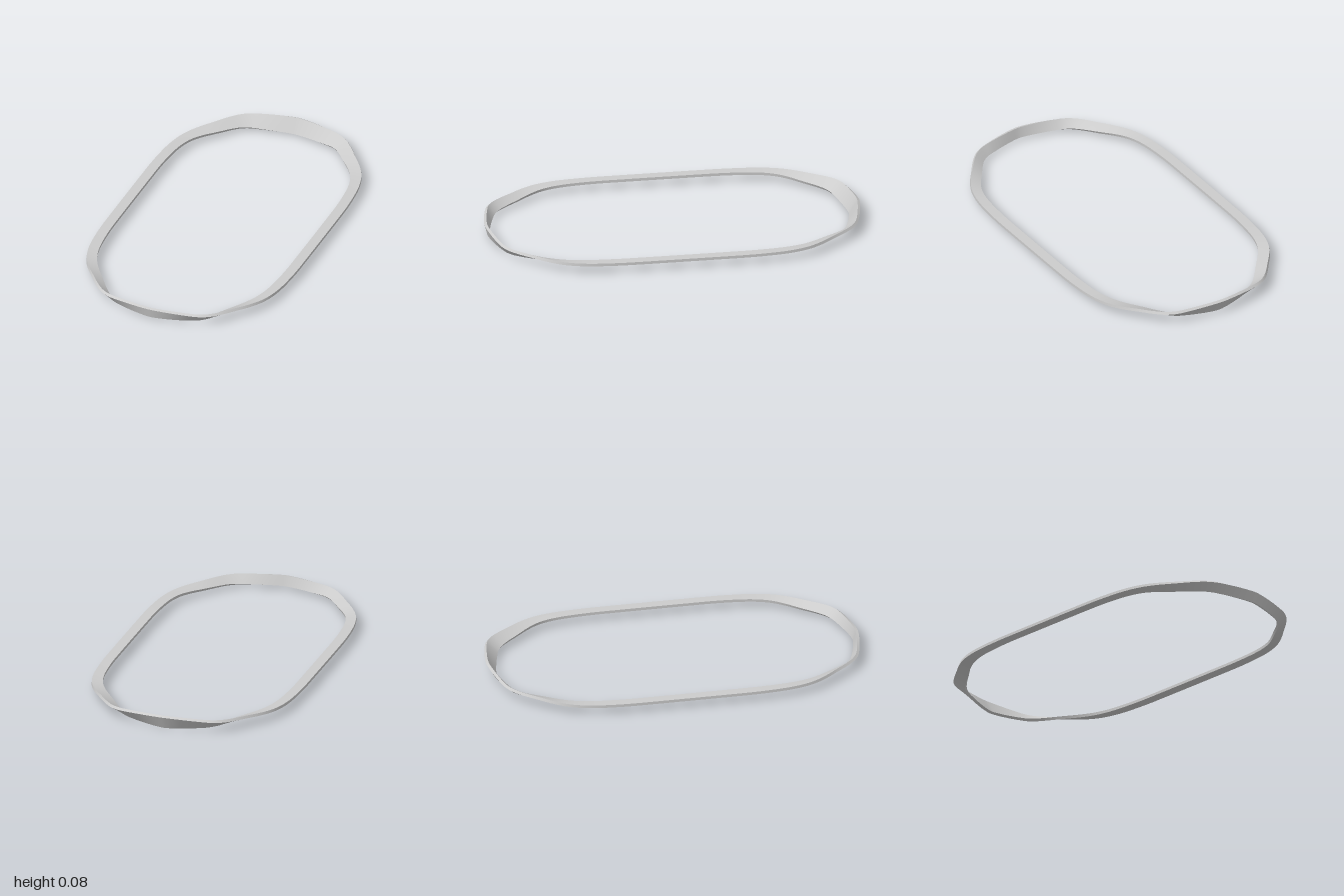
import * as THREE from 'three';

const THICKNESS = 0.015;
const HALF_WIDTH = 0.56;
const SIDE = { tilt: 0, width: 0.055, top: 0.055 };
const BACK = { tilt: 1.05, width: 0.089, top: 0.085 };
const FRONT = { tilt: 1.31, width: 0.057, top: 0.073 };

// Outermost edge seen from above: from the end's tip round to the straight side
const QUARTER_OUTLINE = [
  [0, 1], [0.05, 0.996], [0.12, 0.985], [0.2, 0.968], [0.26, 0.95], [0.31, 0.92],
  [0.355, 0.875], [0.41, 0.805], [0.465, 0.733], [0.505, 0.665], [0.53, 0.595],
  [0.545, 0.52], [0.554, 0.43], [0.559, 0.33], [0.56, 0.2],
];

function outlineCurve() {
  const backRight = QUARTER_OUTLINE.map(([x, z]) => [x, -z]);
  const right = [...backRight, ...QUARTER_OUTLINE.slice().reverse()];
  const left = right.slice(1, -1).reverse().map(([x, z]) => [-x, z]);
  const points = [...right, ...left].map(([x, z]) => new THREE.Vector3(x, 0, z));
  return new THREE.CatmullRomCurve3(points, true, 'centripetal');
}

// Four corners of the band's section; it lies flat at the sides and tips upright at the ends
function section(p, t) {
  const f = Math.max(0, 1 - (Math.abs(p.x) / HALF_WIDTH) ** 1.45);
  const end = p.z < 0 ? BACK : FRONT;
  const mix = (key) => THREE.MathUtils.lerp(SIDE[key], end[key], f);
  const c = Math.cos(mix('tilt')), s = Math.sin(mix('tilt'));
  const w = mix('width'), top = mix('top'), h = THICKNESS;
  const at = (inward, y) => [p.x - t.z * inward, y, p.z + t.x * inward];
  return [
    at(h * s, top),
    at(h * s + w * c, top - w * s),
    at(w * c, top - w * s - h * c),
    at(0, top - h * c),
  ];
}

// One strip per section side keeps the long edges crisp and the run smooth
function bandGeometry(steps) {
  const curve = outlineCurve();
  const rings = [];
  for (let i = 0; i < steps; i++) {
    rings.push(section(curve.getPoint(i / steps), curve.getTangent(i / steps)));
  }
  const positions = [], indices = [];
  for (let side = 0; side < 4; side++) {
    const base = positions.length / 3;
    rings.forEach((ring, i) => {
      positions.push(...ring[side], ...ring[(side + 1) % 4]);
      const a = base + 2 * i, b = base + 2 * ((i + 1) % steps);
      indices.push(a, a + 1, b, a + 1, b + 1, b);
    });
  }
  const geometry = new THREE.BufferGeometry();
  geometry.setAttribute('position', new THREE.Float32BufferAttribute(positions, 3));
  geometry.setIndex(indices);
  geometry.computeVertexNormals();
  return geometry;
}

export function createModel() {
  const group = new THREE.Group();
  group.name = 'twistedOvalBand';
  const band = new THREE.Mesh(bandGeometry(232), new THREE.MeshStandardMaterial({ color: 0xcccccc }));
  band.name = 'band';
  // Rest the lowest edge on the ground
  band.geometry.computeBoundingBox();
  band.position.y = -band.geometry.boundingBox.min.y;
  group.add(band);
  return group;
}
